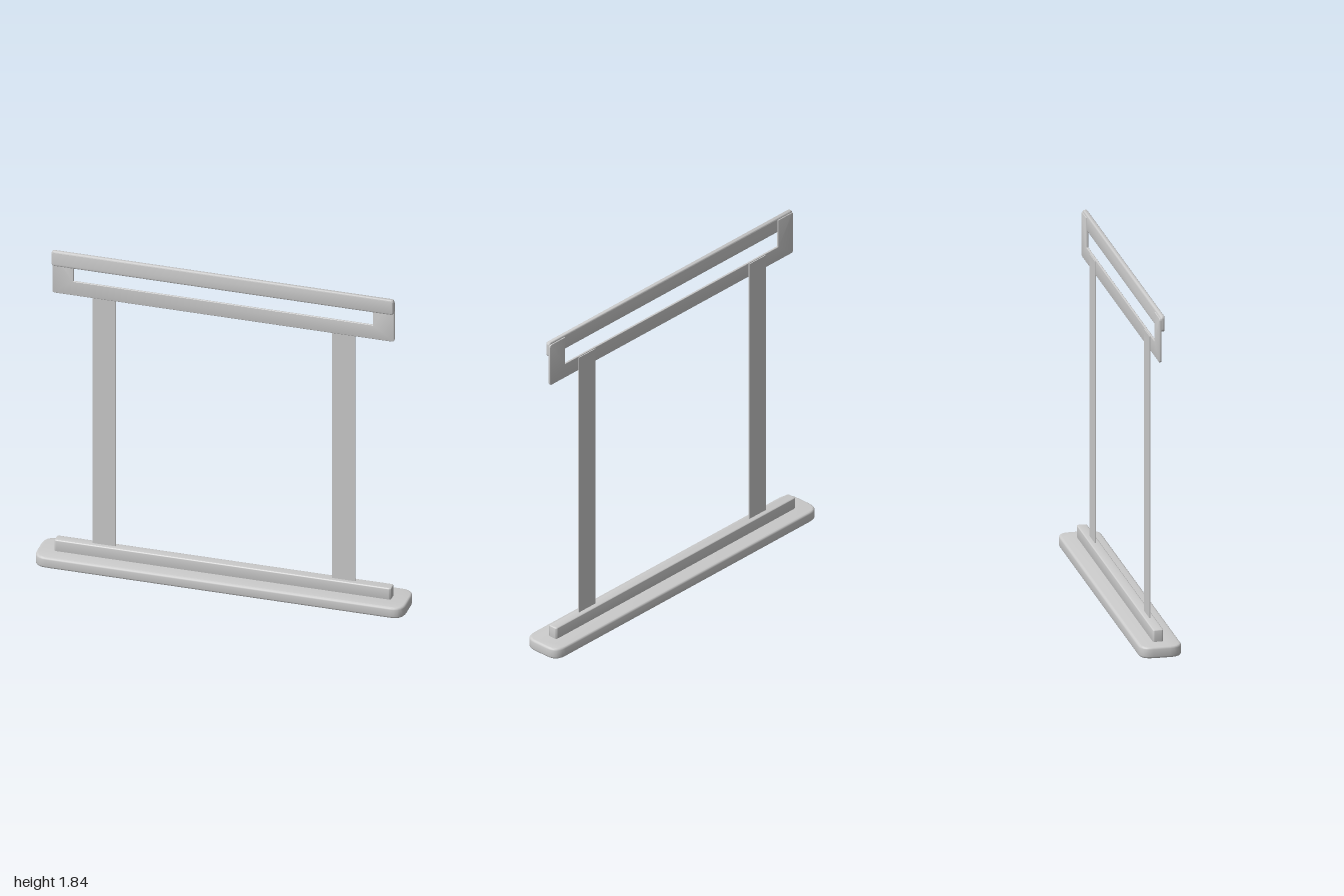
import * as THREE from 'three';
import { toCreasedNormals } from 'three/addons/utils/BufferGeometryUtils.js';

const material = new THREE.MeshStandardMaterial({ color: 0xcccccc });

function roundedRect(w, h, r) {
  const x = w / 2, y = h / 2, s = new THREE.Shape();
  s.moveTo(-x + r, -y);
  s.lineTo(x - r, -y).quadraticCurveTo(x, -y, x, -y + r);
  s.lineTo(x, y - r).quadraticCurveTo(x, y, x - r, y);
  s.lineTo(-x + r, y).quadraticCurveTo(-x, y, -x, y - r);
  s.lineTo(-x, -y + r).quadraticCurveTo(-x, -y, -x + r, -y);
  return s;
}

// Extrude to an exact total depth, with a bevel kept inside the outline
function extrude(shape, depth, bevel) {
  const geo = new THREE.ExtrudeGeometry(shape, {
    depth: depth - 2 * bevel, bevelEnabled: bevel > 0, bevelThickness: bevel,
    bevelSize: bevel, bevelOffset: -bevel, bevelSegments: 3, curveSegments: 6,
  });
  geo.translate(0, 0, bevel);
  return toCreasedNormals(geo, 0.7);
}

function add(group, name, geo, x = 0, y = 0, z = 0) {
  const mesh = new THREE.Mesh(geo, material);
  mesh.name = name;
  mesh.position.set(x, y, z);
  group.add(mesh);
  return mesh;
}

export function createModel() {
  const model = new THREE.Group();
  model.name = 'bannerStand';

  // Weighted foot and the raised holder along its middle
  add(model, 'base', extrude(roundedRect(2, 0.226, 0.07), 0.062, 0.012).rotateX(-Math.PI / 2));
  add(model, 'holderRidge', extrude(roundedRect(1.82, 0.056, 0.012), 0.075, 0.006).rotateX(-Math.PI / 2), 0, 0.052);

  // Two thin upright strips, overlapping the back of the frame
  for (const [name, side] of [['left', 1], ['right', -1]]) {
    add(model, name + 'Strip', new THREE.BoxGeometry(0.125, 1.55, 0.006), side * 0.6475, 0.885, 0);
  }

  // U-shaped plate that hangs below the top bar
  const u = new THREE.Shape();
  const r = 0.015, X = 0.925, x = 0.81, lo = 1.583, sill = 1.665, hi = 1.825;
  u.moveTo(-X + r, lo);
  u.lineTo(X - r, lo).quadraticCurveTo(X, lo, X, lo + r);
  u.lineTo(X, hi - r).quadraticCurveTo(X, hi, X - r, hi);
  u.lineTo(x, hi).lineTo(x, sill).lineTo(-x, sill).lineTo(-x, hi);
  u.lineTo(-X + r, hi).quadraticCurveTo(-X, hi, -X, hi - r);
  u.lineTo(-X, lo + r).quadraticCurveTo(-X, lo, -X + r, lo);
  add(model, 'framePlate', extrude(u, 0.012, 0.003), 0, 0, 0.002);

  // Rounded top bar on the front of the plate
  add(model, 'topBar', extrude(roundedRect(1.85, 0.087, 0.015), 0.025, 0.008), 0, 1.7925, 0.007);

  return model;
}
